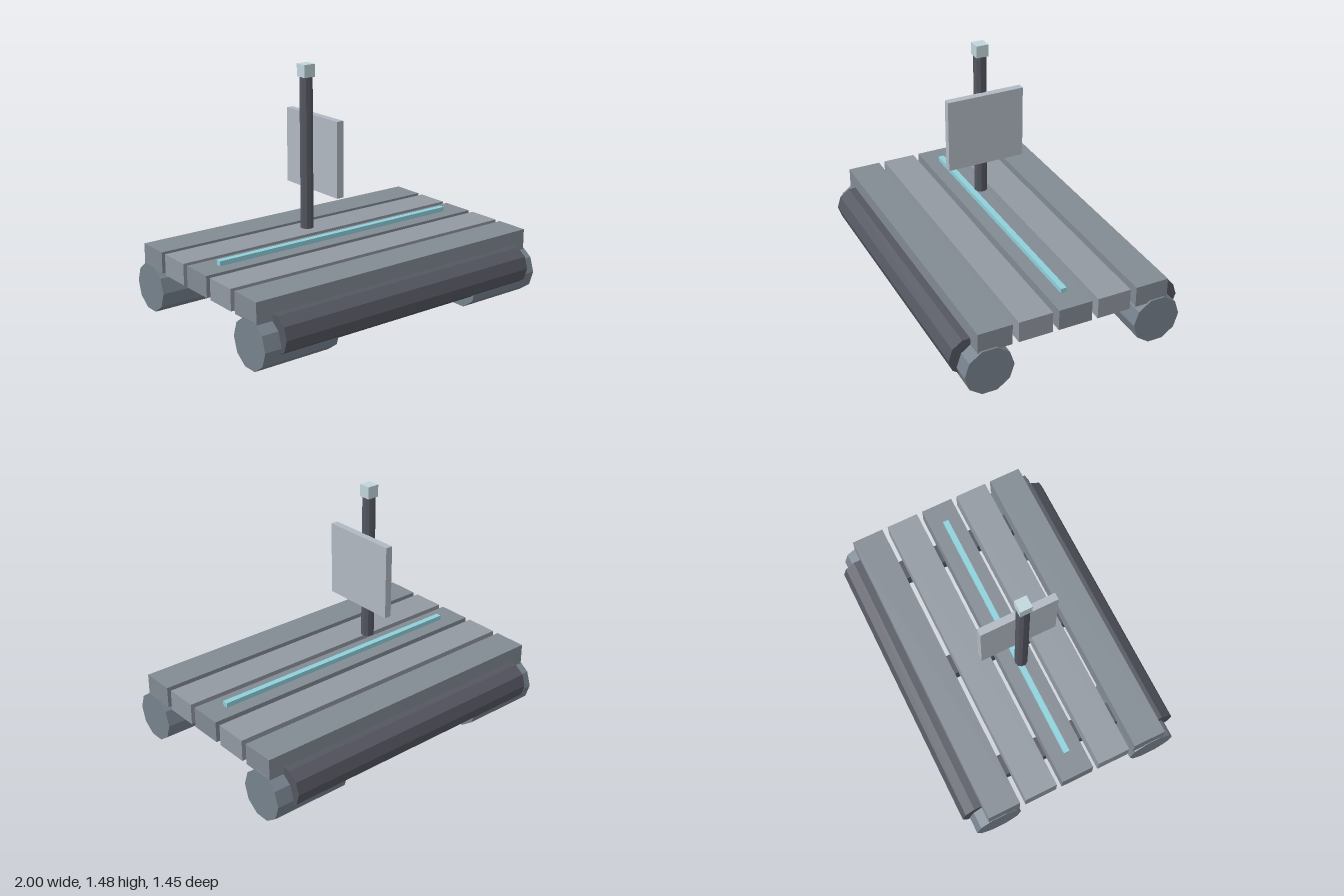
import * as THREE from 'three';

const paint = (color) => new THREE.MeshStandardMaterial({ color, flatShading: true });

export function createModel() {
  const raft = new THREE.Group();
  raft.name = 'raft';

  const floatGrey = paint(0x77828d);
  const darkGrey = paint(0x555761);
  const plankDark = paint(0x828a93);
  const plankLight = paint(0x9299a2);
  const panelGrey = paint(0xb0b8c2);
  const aqua = paint(0x8fd0da);
  const paleBlue = paint(0xc0d5db);

  const add = (name, geometry, material, x, y, z) => {
    const mesh = new THREE.Mesh(geometry, material);
    mesh.name = name;
    mesh.position.set(x, y, z);
    raft.add(mesh);
    return mesh;
  };
  const box = (name, material, w, h, d, x, y, z) =>
    add(name, new THREE.BoxGeometry(w, h, d), material, x, y, z);
  // ten-sided drum lying along x
  const drum = (name, material, r, length, x, y, z) => {
    const geometry = new THREE.CylinderGeometry(r, r, length, 10).rotateZ(Math.PI / 2);
    return add(name, geometry, material, x, y, z);
  };

  // corner floats and the long side tubes
  for (const side of [1, -1]) {
    const end = side > 0 ? 'front' : 'back';
    for (const x of [0.755, -0.755]) {
      drum(`${end}${x > 0 ? 'Left' : 'Right'}Float`, floatGrey, 0.15, 0.49, x, 0.143, side * 0.53);
    }
    drum(`${end}Tube`, darkGrey, 0.12, 1.79, 0, 0.2, side * 0.606);
  }

  // deck planks
  for (let i = -2; i <= 2; i++) {
    box('deckPlank', i % 2 ? plankLight : plankDark, 1.985, 0.13, 0.208, -0.003, 0.335, i * 0.246);
  }

  // cross beams under the deck
  for (const x of [-0.718, 0, 0.718]) {
    box('crossBeam', darkGrey, 0.13, 0.095, 1.13, x, 0.238, 0);
  }

  // light strip along the middle plank
  box('deckStrip', aqua, 1.7, 0.03, 0.036, 0, 0.414, 0);

  // raised mast with cap and panel
  add('mast', new THREE.CylinderGeometry(0.04, 0.04, 0.905, 10), darkGrey, -0.23, 0.957, 0);
  box('mastCap', paleBlue, 0.075, 0.075, 0.075, -0.23, 1.446, 0);
  box('mastPanel', panelGrey, 0.045, 0.452, 0.49, -0.172, 0.956, 0);

  return raft;
}
